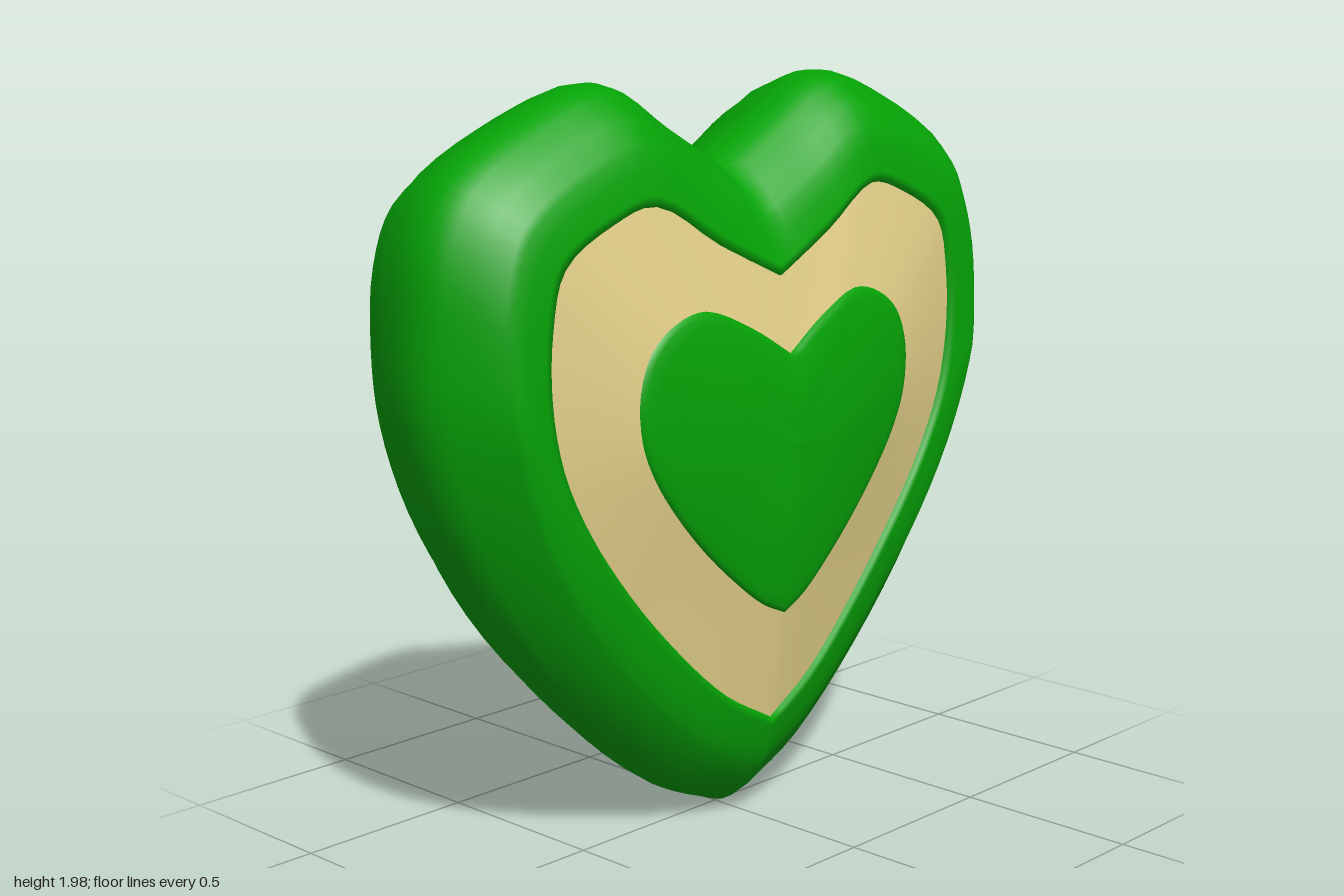
import * as THREE from 'three';

const HALF = 48; // samples along each half of a heart

// Half outlines from the notch, round the +x lobe, down to the tip
const OUTER = [[0, 1.76], [0.2, 1.87], [0.41, 1.98], [0.66, 1.91], [0.9, 1.77], [0.98, 1.62], [1, 1.4],
  [0.99, 1.2], [0.91, 0.92], [0.75, 0.63], [0.48, 0.325], [0.2, 0.095], [0, 0.005]];
const MIDDLE = [[0, 1.48], [0.2, 1.575], [0.4, 1.685], [0.55, 1.65], [0.7, 1.56], [0.74, 1.42], [0.745, 1.25],
  [0.71, 1.08], [0.63, 0.92], [0.5, 0.74], [0.33, 0.55], [0.16, 0.395], [0, 0.3]];
const INNER = [[0, 1.29], [0.13, 1.37], [0.28, 1.43], [0.38, 1.41], [0.46, 1.35], [0.5, 1.25], [0.495, 1.13],
  [0.455, 1.03], [0.38, 0.92], [0.285, 0.81], [0.18, 0.71], [0.08, 0.63], [0, 0.59]];

// Full clockwise loop; the -x side may be slightly wider
function heartLoop(half, leftScale = 1) {
  const curve = new THREE.CatmullRomCurve3(half.map(([x, y]) => new THREE.Vector3(x, y, 0)));
  const right = Array.from({ length: HALF + 1 }, (_, i) => curve.getPoint(i / HALF));
  const left = right.slice(1, -1).reverse().map((p) => new THREE.Vector3(-p.x * leftScale, p.y, 0));
  return [...right, ...left];
}

// Heights along each outline: slightly raised towards the notch and the tip
const ridge = (x, y, width, notch, tip) => Math.max(0, 1 - Math.abs(x) / width) * (y > 1 ? notch : tip);
const creaseZ = (x, y) => 0.2 - 0.035 * Math.min(1, Math.abs(y - 1.2) / 0.65);
const middleZ = (x, y) => 0.195 + ridge(x, y, 0.45, 0.04, 0.015);
const innerZ = (x, y) => 0.25 + ridge(x, y, 0.3, 0.022, 0.006);

function setZ(loop, rule) {
  return loop.map((p) => new THREE.Vector3(p.x, p.y, rule(p.x, p.y)));
}

// Blend loop a to loop b by t, then lift; a given z overrides the blended height
function ring(a, b, t, lift = 0, z) {
  return a.map((p, i) => {
    const q = p.clone().lerp(b[i], t);
    q.z = (z ?? q.z) + lift;
    return q;
  });
}

function loft(name, rings, material) {
  const n = rings[0].length;
  const positions = rings.flat().flatMap((p) => [p.x, p.y, p.z]);
  const index = [];
  for (let i = 0; i < rings.length - 1; i++) {
    for (let j = 0; j < n; j++) {
      const k = (j + 1) % n;
      const a = i * n + j, b = i * n + k, c = a + n, d = b + n;
      index.push(a, c, d, a, d, b);
    }
  }
  const geometry = new THREE.BufferGeometry();
  geometry.setAttribute('position', new THREE.Float32BufferAttribute(positions, 3));
  geometry.setIndex(index);
  geometry.computeVertexNormals();
  const mesh = new THREE.Mesh(geometry, material);
  mesh.name = name;
  return mesh;
}

export function createModel() {
  const green = new THREE.MeshStandardMaterial({ name: 'green', color: 0x05a306 });
  const cream = new THREE.MeshStandardMaterial({ name: 'cream', color: 0xe6d38b });

  const outer = heartLoop(OUTER);
  const middle = setZ(heartLoop(MIDDLE, 1.02), middleZ);
  const inner = setZ(heartLoop(INNER, 1.05), innerZ);
  const centre = outer.map(() => new THREE.Vector3(0, 1.05, 0.3));

  const group = new THREE.Group();
  group.name = 'heart';

  // Frame: from the back recess, over the rounded lip and side, to the front rim
  const side = [
    [0.61, -0.21], [0.59, -0.213], [0.57, -0.225], [0.53, -0.265], [0.5, -0.287], [0.46, -0.298],
    [0.41, -0.3], [0.37, -0.296], [0.335, -0.278], [0.26, -0.24], [0.165, -0.2], [0.07, -0.13],
    [0.02, -0.085], [0, -0.045], [0.005, -0.01], [0.035, 0.025], [0.1, 0.06], [0.28, 0.125],
  ].map(([t, z]) => ring(outer, middle, t, 0, z));
  const crease = setZ(ring(outer, middle, 0.46), creaseZ);
  const rim = [[0, -0.008], [0.12, 0.002], [0.4, 0.007], [0.8, 0.009], [0.94, 0.006], [1, -0.02]]
    .map(([t, lift]) => ring(crease, middle, t, lift));
  group.add(loft('frame', [...side, ...rim], green));

  // Flat floor of the back recess
  const floorEdge = ring(outer, middle, 0.6, 0, -0.211);
  group.add(loft('backFloor', [ring(floorEdge, centre, 1, 0, -0.211), floorEdge], green));

  // Cream band, tucked under the frame and the inner heart
  const band = [-0.03, 0, 0.25, 0.5, 0.75, 1, 1.1].map((t) => ring(middle, inner, t, -0.006));
  group.add(loft('creamBand', band, cream));

  // Raised inner heart with a soft edge and a bulging face
  const face = [[0, -0.02], [0.01, -0.004], [0.04, 0.002], [0.1, 0.006], [0.25, 0.009], [0.45, 0.011],
    [0.65, 0.009], [0.85, 0.002], [1, 0]].map(([t, lift]) => ring(inner, centre, t, lift));
  group.add(loft('innerHeart', face, green));

  return group;
}
